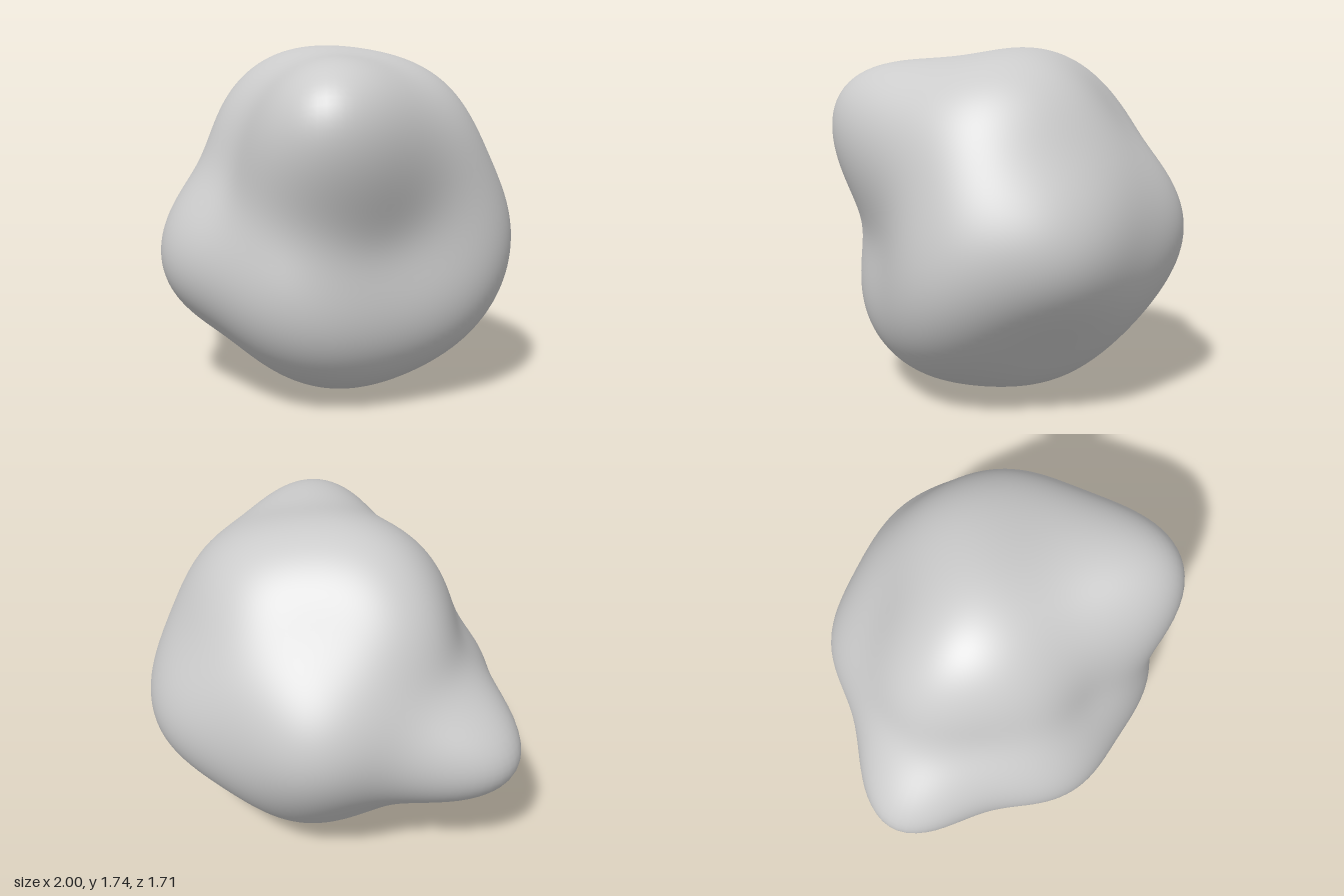
import * as THREE from 'three';
import { mergeVertices } from 'three/addons/utils/BufferGeometryUtils.js';

const CENTRE = new THREE.Vector3(0.05, 0.85, 0);

// Peaks, hollows and flanks of the boulder
const LANDMARKS = [
  // left spur and its flanks, with a hollow above it
  [-1.02, 0.71, -0.21], [-0.85, 0.49, -0.2], [-0.8, 0.96, -0.22], [-0.83, 0.7, 0.13],
  [-0.66, 0.7, 0.43], [-0.45, 0.6, 0.66], [-0.71, 0.92, 0.22], [-0.6, 1.25, -0.2],
  [-0.6, 1.12, 0.12],
  // crown
  [-0.42, 1.55, 0], [-0.27, 1.66, -0.1], [0.08, 1.73, 0.04], [0.45, 1.66, 0.2],
  [0.25, 1.6, 0.62], [0.4, 1.54, -0.45], [-0.05, 1.43, -0.5],
  // right flank
  [0.71, 1.52, -0.1], [0.97, 0.95, -0.15], [1, 0.62, -0.12], [0.9, 0.36, 0],
  [0.85, 0.75, 0.22], [0.73, 1.28, 0.59],
  // underside
  [0.5, 0.07, 0.05], [0.18, 0, 0.08], [-0.2, 0.11, 0.1], [-0.55, 0.3, 0],
  [0.2, 0.07, -0.3], [0.15, 0.3, -0.6], [-0.45, 0.42, -0.4],
  [-0.2, 0.27, 0.5], [0.65, 0.4, -0.45],
  // front: upper and lower bulges, slanting ridge, low hollow on its right
  [0.43, 1.51, 0.81], [0.45, 1, 0.77], [0.25, 0.58, 0.83], [0.47, 0.36, 0.69],
  [-0.2, 0.58, 0.75], [-0.15, 1.05, 0.62], [0.1, 1.4, 0.69], [-0.28, 1.35, 0.43],
  [0.6, 0.72, 0.56], [0.64, 1.02, 0.63], [-0.46, 1.02, 0.49],
  // back
  [-0.2, 0.85, -0.82], [0.25, 0.85, -0.82], [0.3, 1.2, -0.71], [0.7, 0.75, -0.7],
  [0.93, 0.8, -0.42], [0.63, 1.25, -0.52], [-0.6, 0.75, -0.54], [-0.35, 1.25, -0.52],
];

// Smooth falloff between two directions
function kernel(a, b) {
  const d = a.distanceTo(b) / 0.4;
  return (1 + d + d * d / 3) * Math.exp(-d);
}

// Gaussian elimination with pivoting
function solve(rows) {
  const n = rows.length;
  for (let c = 0; c < n; c++) {
    let p = c;
    for (let r = c + 1; r < n; r++) if (Math.abs(rows[r][c]) > Math.abs(rows[p][c])) p = r;
    [rows[c], rows[p]] = [rows[p], rows[c]];
    for (let r = c + 1; r < n; r++) {
      const f = rows[r][c] / rows[c][c];
      for (let k = c; k <= n; k++) rows[r][k] -= f * rows[c][k];
    }
  }
  const x = new Array(n).fill(0);
  for (let r = n - 1; r >= 0; r--) {
    let s = rows[r][n];
    for (let k = r + 1; k < n; k++) s -= rows[r][k] * x[k];
    x[r] = s / rows[r][r];
  }
  return x;
}

// Returns the boulder's radius in any direction from its centre
function makeRadius() {
  const offsets = LANDMARKS.map((p) => new THREE.Vector3(...p).sub(CENTRE));
  const radii = offsets.map((o) => o.length());
  const mean = radii.reduce((a, b) => a + b) / radii.length;
  const dirs = offsets.map((o) => o.clone().normalize());
  const weights = solve(dirs.map((a, i) => [
    ...dirs.map((b, j) => kernel(a, b) + (i === j ? 0.002 : 0)), radii[i] - mean,
  ]));
  return (d) => dirs.reduce((sum, k, i) => sum + weights[i] * kernel(d, k), mean);
}

export function createModel() {
  const group = new THREE.Group();
  group.name = 'boulder';

  // Sphere pushed in and out, welded so the shading has no seam
  let geometry = new THREE.SphereGeometry(1, 144, 96);
  geometry.deleteAttribute('uv');
  geometry.deleteAttribute('normal');
  geometry = mergeVertices(geometry, 1e-5);
  const radius = makeRadius();
  const pos = geometry.attributes.position;
  const v = new THREE.Vector3();
  for (let i = 0; i < pos.count; i++) {
    v.fromBufferAttribute(pos, i).normalize();
    v.multiplyScalar(radius(v)).add(CENTRE);
    pos.setXYZ(i, v.x, v.y, v.z);
  }

  // Stand it on the ground
  geometry.computeBoundingBox();
  geometry.translate(0, -geometry.boundingBox.min.y, 0);
  geometry.computeVertexNormals();

  const rock = new THREE.Mesh(geometry, new THREE.MeshStandardMaterial({ color: 0xcccccc }));
  rock.name = 'rock';
  group.add(rock);
  return group;
}
